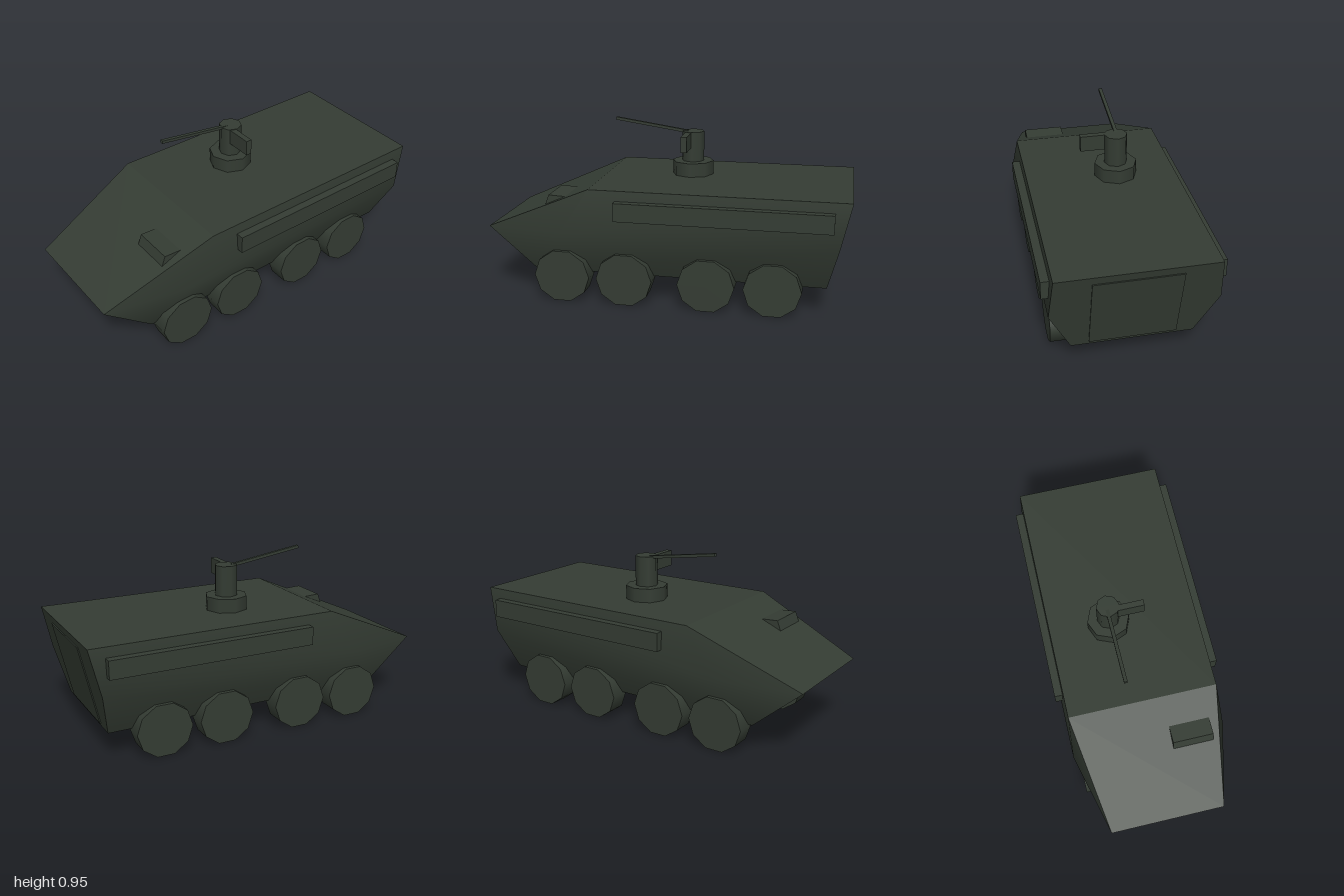
import * as THREE from 'three';

export function createModel() {
  const group = new THREE.Group();
  const green = new THREE.MeshStandardMaterial({ color: 0x343c33 });
  green.name = 'dark green';
  const flatGreen = green;

  function add(name, geometry, x = 0, y = 0, z = 0, parent = group) {
    const mesh = new THREE.Mesh(geometry, flatGreen);
    mesh.name = name;
    mesh.position.set(x, y, z);
    parent.add(mesh);
    return mesh;
  }

  function buffer(points, index) {
    const g = new THREE.BufferGeometry();
    g.setAttribute('position', new THREE.Float32BufferAttribute(points.flat(), 3));
    if (index) g.setIndex(index);
    g.computeVertexNormals();
    return g;
  }

  // Hull corners on the +x side
  const roofRear = [0.41, 0.645, -0.993];
  const roofFront = [0.41, 0.645, 0.39];
  const nose = [0.315, 0.38, 1];
  const floorFront = [0.315, 0.15, 0.73];
  const floorRear = [0.315, 0.15, -0.88];
  const waistRear = [0.43, 0.395, -0.936];
  const waistFront = [0.43, 0.395, 0.55];
  const mirror = ([x, y, z]) => [-x, y, z];

  // Flat bands across the hull: roof, glacis, lower nose, floor, rear
  const loop = [roofRear, roofFront, nose, floorFront, floorRear, waistRear, roofRear];
  const bands = [];
  for (let i = 0; i < loop.length - 1; i++) {
    const a = loop[i], b = loop[i + 1];
    bands.push(mirror(a), mirror(b), b, mirror(a), b, a);
  }
  add('hullBody', buffer(bands));

  // Smooth hull sides
  const side = [roofRear, roofFront, nose, floorFront, floorRear, waistRear, waistFront];
  const faces = [0, 1, 6, 0, 6, 5, 5, 6, 3, 5, 3, 4, 1, 2, 6, 6, 2, 3];
  add('hullSideLeft', buffer(side, faces));
  add('hullSideRight', buffer(side.map(mirror), faces.slice().reverse()));

  // Side stowage panels and wheels
  const wheelGeometry = new THREE.CylinderGeometry(0.155, 0.155, 0.11, 10);
  wheelGeometry.rotateY(Math.PI / 2).rotateZ(Math.PI / 2);
  // Turn so a vertex points forward and a flat side rests on the ground
  const pos = wheelGeometry.attributes.position;
  let top = 0, reach = 0;
  for (let i = 0; i < pos.count; i++) {
    top = Math.max(top, pos.getY(i));
    reach = Math.max(reach, pos.getZ(i));
  }
  if (top > reach) wheelGeometry.rotateX(Math.PI / 2);
  wheelGeometry.scale(1, 0.284 / (0.31 * Math.cos(Math.PI / 10)), 1);
  for (const s of [1, -1]) {
    add('sidePanel', new THREE.BoxGeometry(0.06, 0.1, 1.148), s * 0.428, 0.54, -0.332);
    for (const z of [0.555, 0.205, -0.245, -0.6]) {
      add('wheel', wheelGeometry, s * 0.345, 0.142, z);
    }
  }

  // Rear door lying on the sloped back
  const door = add('rearDoor', new THREE.BoxGeometry(0.45, 0.44, 0.014), 0, 0.385, -0.9325);
  door.rotation.x = -Math.atan2(0.113, 0.495);

  // Driver hatch wedge on the glacis, profile drawn in (z, y)
  const wedge = new THREE.Shape([
    [0.66, 0.522], [0.637, 0.583], [0.53, 0.578], [0.53, 0.53],
  ].map(([z, y]) => new THREE.Vector2(-z, y)));
  const wedgeGeometry = new THREE.ExtrudeGeometry(wedge, { depth: 0.223, bevelEnabled: false });
  wedgeGeometry.rotateY(Math.PI / 2);
  add('driverHatch', wedgeGeometry, 0.11);

  // Weapon station
  const turret = new THREE.Group();
  turret.name = 'turret';
  turret.position.set(-0.08, 0, -0.09);
  group.add(turret);
  add('turretBase', new THREE.CylinderGeometry(0.117, 0.117, 0.08, 8), 0, 0.682, 0, turret);
  add('turretPost', new THREE.CylinderGeometry(0.0625, 0.0625, 0.17, 8), 0, 0.805, 0, turret);
  add('sightBox', new THREE.BoxGeometry(0.146, 0.087, 0.033), 0.12, 0.8435, 0.02, turret);
  const barrel = add('gunBarrel', new THREE.BoxGeometry(0.019, 0.016, 0.445), -0.006, 0.913, 0.23, turret);
  barrel.rotation.x = -0.147;

  return group;
}
